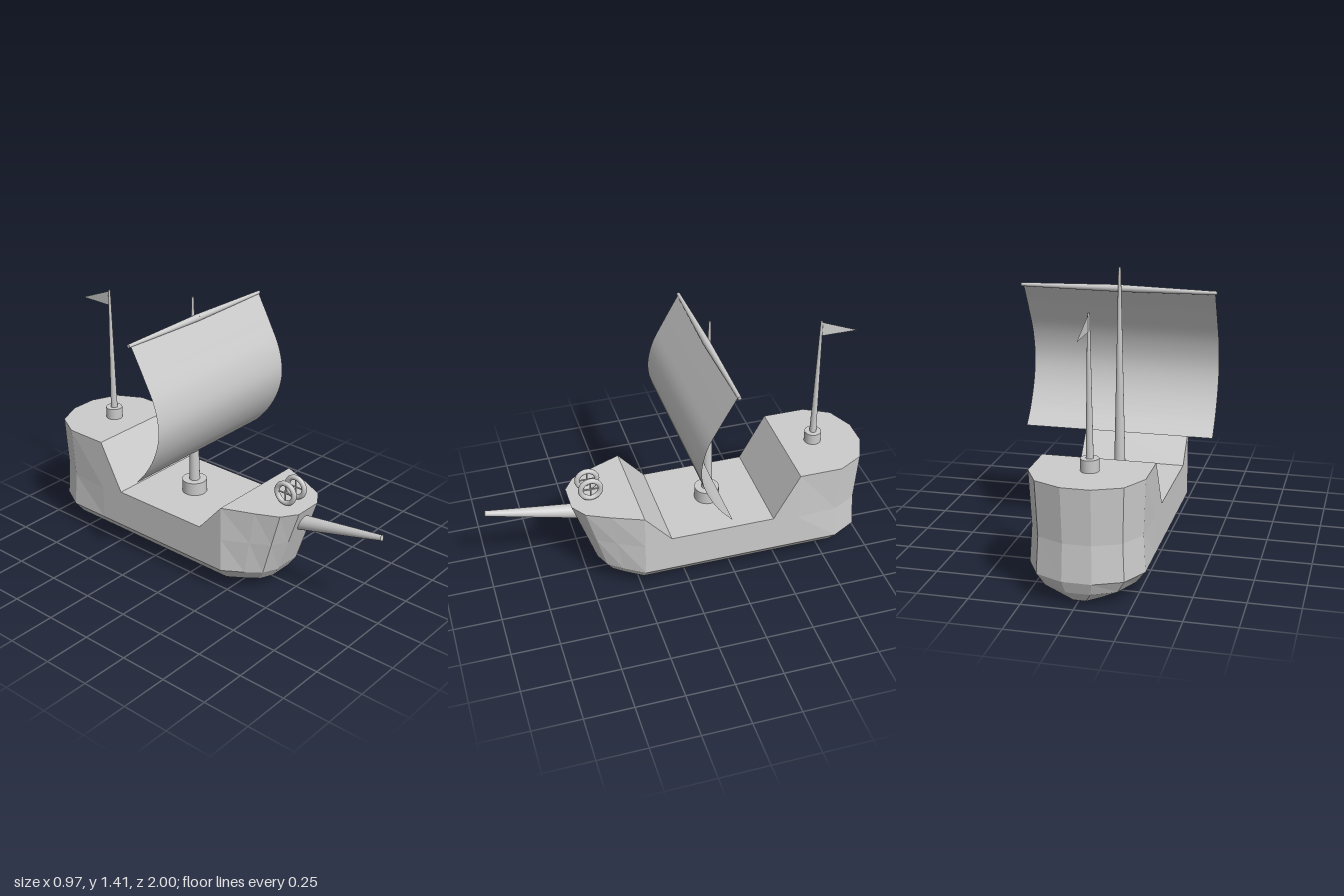
import * as THREE from 'three';

const CX = -0.015; // centre line of the ship
const grey = new THREE.MeshStandardMaterial({ color: 0xcccccc });
const flat = new THREE.MeshStandardMaterial({ color: 0xcccccc, flatShading: true });
const thin = new THREE.MeshStandardMaterial({ color: 0xcccccc, side: THREE.DoubleSide });

function add(parent, name, geometry, material = grey) {
  const mesh = new THREE.Mesh(geometry, material);
  mesh.name = name;
  parent.add(mesh);
  return mesh;
}

// Tapered round bar between two points
function spar(parent, name, from, to, r0, r1, sides = 16) {
  const a = new THREE.Vector3(...from), b = new THREE.Vector3(...to);
  const dir = b.clone().sub(a);
  const mesh = add(parent, name, new THREE.CylinderGeometry(r1, r0, dir.length(), sides));
  mesh.position.copy(a).add(b).multiplyScalar(0.5);
  mesh.quaternion.setFromUnitVectors(new THREE.Vector3(0, 1, 0), dir.normalize());
  return mesh;
}

// Hull: half plan outline from stern to bow as [half width, z, deck height],
// stacked in rings that shrink towards the keel
function hullGeometry() {
  const plan = [
    [0.07, -1, 0.58], [0.205, -0.94, 0.58], [0.275, -0.81, 0.58], [0.275, -0.585, 0.58],
    [0.275, -0.45, 0.33], [0.275, 0.10, 0.33], [0.275, 0.24, 0.49],
    [0.21, 0.40, 0.49], [0.155, 0.515, 0.49], [0.075, 0.57, 0.49],
  ];
  // [height (null = deck), width scale, bow z, stern z, stern pinch]
  const levels = [
    [null, 1, 0.57, -1, 1],
    [0.31, 1, 0.51, -0.985, 0.96],
    [0.13, 1, 0.45, -0.997, 1],
    [0.07, 0.83, 0.41, -0.975, 1],
    [0.022, 0.42, 0.345, -0.945, 1],
    [0, 0, 0.25, -0.9, 1],
  ];
  const rings = levels.map(([y, s, bow, stern, pinch]) => {
    const right = plan.map(([x, z, deck]) => {
      let zz = z;
      if (z > 0.24) zz = 0.24 + (z - 0.24) * (bow - 0.24) / 0.33;
      if (z < -0.585) zz = -0.585 + (z + 0.585) * (stern + 0.585) / -0.415;
      return [x * s * (z < -0.7 ? pinch : 1), y ?? deck, zz];
    });
    const left = right.map(([x, h, z]) => [-x, h, z]).reverse();
    return [...right, ...left];
  });
  const pos = [], n = plan.length * 2;
  const tri = (...pts) => pts.forEach((p) => pos.push(p[0] + CX, p[1], p[2]));
  for (let r = 0; r < rings.length - 1; r++) {
    for (let i = 0; i < n; i++) {
      const j = (i + 1) % n, up = rings[r], low = rings[r + 1];
      tri(up[i], up[j], low[i]);
      tri(up[j], low[j], low[i]);
    }
  }
  // deck strips across the ship
  const top = rings[0];
  for (let i = 0; i < plan.length - 1; i++) {
    const l = n - 1 - i;
    tri(top[i], top[l], top[i + 1]);
    tri(top[l], top[l - 1], top[i + 1]);
  }
  const g = new THREE.BufferGeometry();
  g.setAttribute('position', new THREE.Float32BufferAttribute(pos, 3));
  g.computeVertexNormals();
  return g;
}

// Square sail: a billowing side profile swept across the width
function sailGeometry(x0, x1) {
  const curve = new THREE.CatmullRomCurve3([
    [1.3, -0.15], [1.155, -0.07], [1.03, -0.008], [0.9, 0.016],
    [0.78, -0.008], [0.66, -0.072], [0.572, -0.147],
  ].map(([y, z]) => new THREE.Vector3(0, y, z)));
  const steps = 24;
  const g = new THREE.PlaneGeometry(x1 - x0, 1, 1, steps);
  const p = g.attributes.position;
  for (let i = 0; i < p.count; i++) {
    const c = curve.getPoint(Math.floor(i / 2) / steps);
    p.setXYZ(i, i % 2 ? x1 : x0, c.y, c.z);
  }
  g.computeVertexNormals();
  return g;
}

export function createModel() {
  const ship = new THREE.Group();
  ship.name = 'sailingShip';

  add(ship, 'hull', hullGeometry(), flat);
  spar(ship, 'bowsprit', [CX, 0.39, 0.48], [CX, 0.492, 1.0], 0.042, 0.014);

  // Masts with round collars on the deck
  const masts = [
    { name: 'main', z: -0.172, deck: 0.33, top: 1.41, r0: 0.03, r1: 0.006, collar: 0.065, h: 0.07 },
    { name: 'aft', z: -0.755, deck: 0.58, top: 1.31, r0: 0.019, r1: 0.006, collar: 0.044, h: 0.06 },
  ];
  for (const m of masts) {
    const x = CX - 0.002;
    spar(ship, m.name + 'Mast', [x, m.deck, m.z], [x, m.top, m.z], m.r0, m.r1);
    spar(ship, m.name + 'MastCollar', [x, m.deck - 0.01, m.z], [x, m.deck + m.h, m.z], m.collar, m.collar, 24);
  }

  // Yard, thick in the middle and tapering to both ends
  for (const side of [-1, 1]) {
    spar(ship, 'yardArm', [-0.003, 1.303, -0.153], [-0.003 + side * 0.487, 1.301, -0.156], 0.018, 0.009);
  }
  add(ship, 'sail', sailGeometry(-0.48, 0.475), thin);

  // Pennant trailing aft
  const pennant = new THREE.Shape([
    new THREE.Vector2(0, 1.305), new THREE.Vector2(0, 1.225), new THREE.Vector2(0.2, 1.225),
  ]);
  const flag = add(ship, 'flag', new THREE.ShapeGeometry(pennant), thin);
  flag.rotation.y = Math.PI / 2;
  flag.position.set(CX - 0.002, 0, -0.755);

  // Pair of spoked wheels on the foredeck
  for (const x of [-0.058, 0.025]) {
    const wheel = new THREE.Group();
    wheel.name = 'wheel';
    const rim = add(wheel, 'wheelRim', new THREE.TorusGeometry(0.052, 0.0135, 12, 32));
    rim.rotation.y = Math.PI / 2;
    spar(wheel, 'wheelSpoke', [0, -0.052, 0], [0, 0.052, 0], 0.004, 0.004, 8);
    spar(wheel, 'wheelSpoke', [0, 0, -0.052], [0, 0, 0.052], 0.004, 0.004, 8);
    wheel.position.set(x, 0.555, 0.46);
    ship.add(wheel);
  }
  return ship;
}
